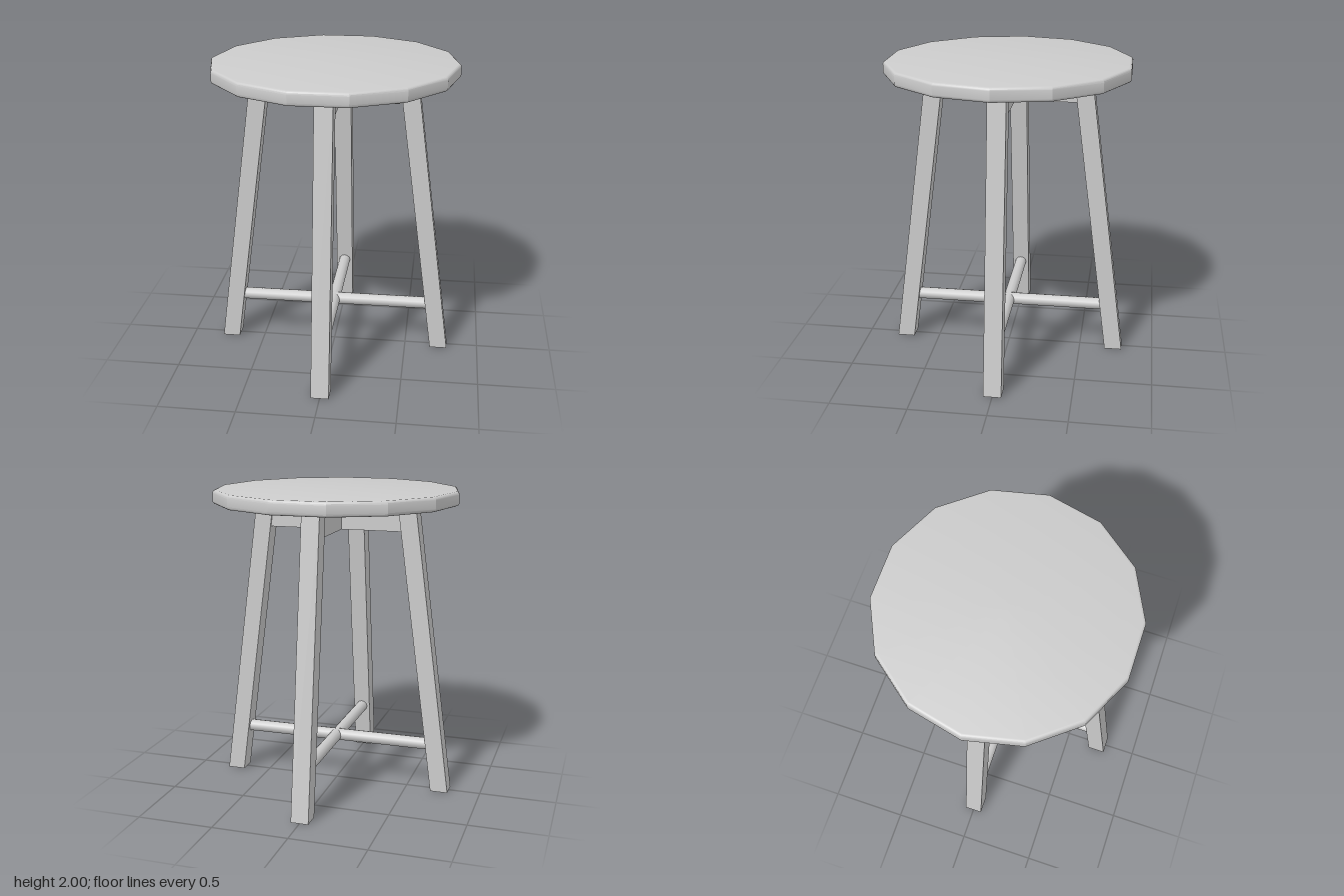
import * as THREE from 'three';
import { toCreasedNormals } from 'three/addons/utils/BufferGeometryUtils.js';

const SEAT_BOTTOM = 1.91;
const SEAT_TOP = 2;

export function createModel() {
  const stool = new THREE.Group();
  stool.name = 'stool';
  const smooth = new THREE.MeshStandardMaterial({ color: 0xcccccc });
  const flat = new THREE.MeshStandardMaterial({
    color: 0xcccccc, flatShading: true, side: THREE.DoubleSide,
  });

  const add = (name, geometry, material) => {
    const mesh = new THREE.Mesh(geometry, material);
    mesh.name = name;
    stool.add(mesh);
    return mesh;
  };

  // Seat: fourteen-sided disc with rounded rims
  const radius = 0.8, bevel = 0.02;
  const profile = [new THREE.Vector2(0, SEAT_BOTTOM)];
  for (const [y, start] of [[SEAT_BOTTOM + bevel, -Math.PI / 2], [SEAT_TOP - bevel, 0]]) {
    for (let i = 0; i <= 4; i++) {
      const a = start + (i / 4) * (Math.PI / 2);
      profile.push(new THREE.Vector2(radius - bevel + bevel * Math.cos(a), y + bevel * Math.sin(a)));
    }
  }
  profile.push(new THREE.Vector2(0, SEAT_TOP));
  const seat = new THREE.LatheGeometry(profile, 14, Math.PI / 2);
  add('seat', toCreasedNormals(seat, 0.42), smooth);

  // Legs: open square tubes, sheared outwards towards the floor
  const legGeometry = new THREE.CylinderGeometry(0.082, 0.082, SEAT_BOTTOM, 4, 1, true);
  legGeometry.rotateY(Math.PI / 4);
  legGeometry.translate(0, SEAT_BOTTOM / 2, 0);
  const p = legGeometry.attributes.position;
  for (let i = 0; i < p.count; i++) {
    p.setX(i, p.getX(i) + THREE.MathUtils.lerp(0.732, 0.478, p.getY(i) / SEAT_BOTTOM));
  }
  ['leftLeg', 'backLeg', 'rightLeg', 'frontLeg'].forEach((name, i) => {
    add(name, legGeometry, flat).rotation.y = (i * Math.PI) / 2;
  });

  // Crossed seat rails and round stretchers joining opposite legs
  const railGeometry = new THREE.BoxGeometry(0.95, 0.17, 0.09);
  const rodGeometry = new THREE.CylinderGeometry(0.04, 0.04, 1.34, 12);
  rodGeometry.rotateZ(Math.PI / 2);
  ['side', 'frontBack'].forEach((axis, i) => {
    const rail = add(axis + 'Rail', railGeometry, flat);
    rail.position.y = 1.825;
    rail.rotation.y = (i * Math.PI) / 2;
    const rod = add(axis + 'Stretcher', rodGeometry, smooth);
    rod.position.y = 0.315;
    rod.rotation.y = (i * Math.PI) / 2;
  });

  return stool;
}
